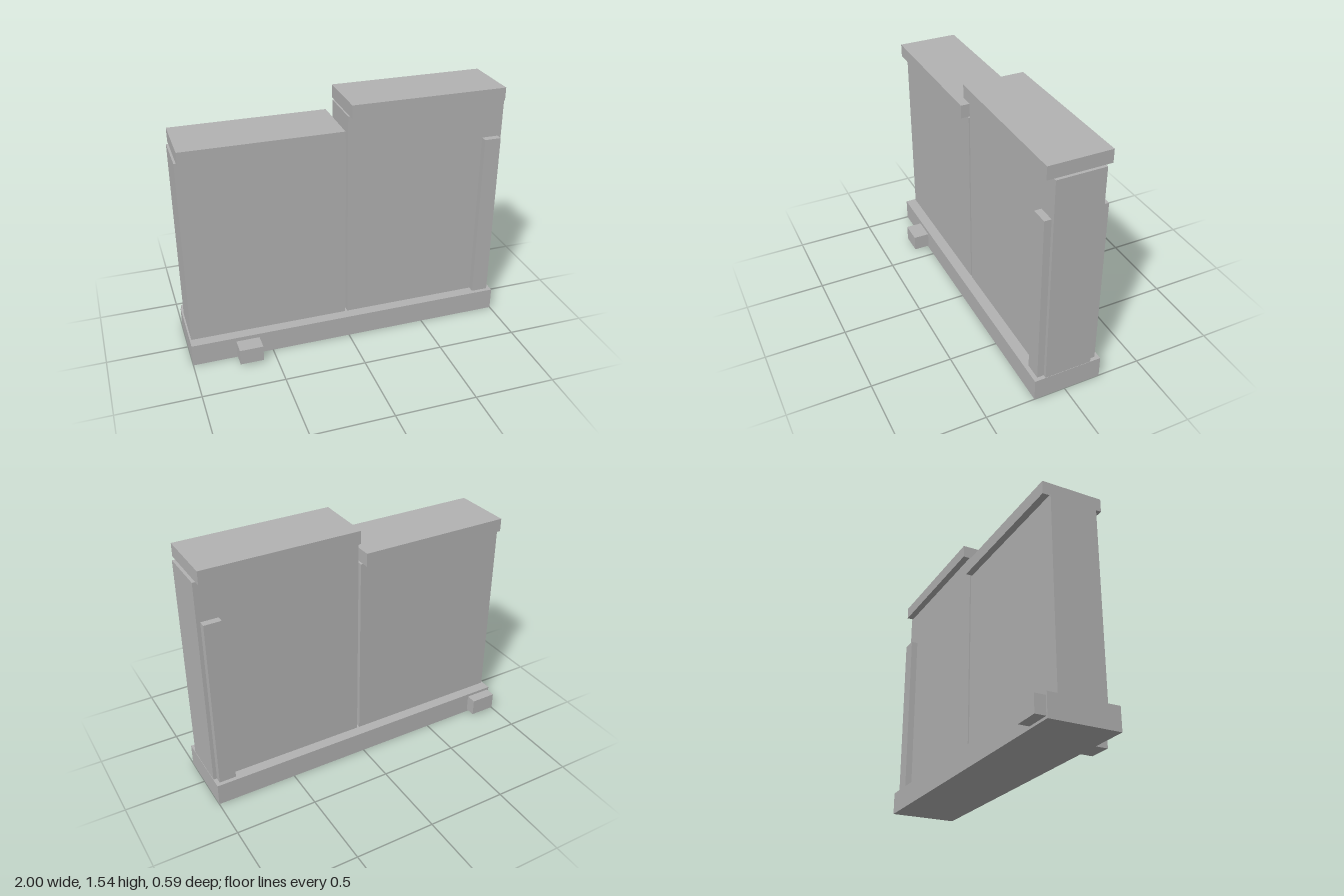
import * as THREE from 'three';

export function createModel() {
  const group = new THREE.Group();
  const stone = new THREE.MeshStandardMaterial({ color: 0xb2b2b2 });
  stone.name = 'grey stone';

  // Box given by its extents along each axis
  function box(name, [x0, x1], [y0, y1], [z0, z1]) {
    const mesh = new THREE.Mesh(new THREE.BoxGeometry(x1 - x0, y1 - y0, z1 - z0), stone);
    mesh.position.set((x0 + x1) / 2, (y0 + y1) / 2, (z0 + z1) / 2);
    mesh.name = name;
    group.add(mesh);
  }

  const wallZ = [-0.165, 0.128];
  const capZ = [-0.207, 0.17];

  // Plinth under both wall panels
  box('base', [-1, 1], [0, 0.14], [-0.232, 0.196]);

  // Stepped wall panels with a recessed joint between them
  box('lowWall', [-0.99, -0.006], [0.14, 1.31], wallZ);
  box('highWall', [0.01, 0.998], [0.14, 1.463], wallZ);
  box('wallJoint', [-0.006, 0.01], [0.14, 1.31], [-0.13, 0.09]);

  // Coping slabs
  box('lowCap', [-0.977, -0.02], [1.31, 1.392], capZ);
  box('highCap', [0.02, 0.98], [1.463, 1.543], capZ);

  // Upright strips on both faces of the high wall
  box('frontStrip', [0.872, 0.976], [0.14, 1.222], [wallZ[1], 0.17]);
  box('backStrip', [0.872, 0.976], [0.14, 1.222], [-0.207, wallZ[0]]);

  // Small blocks against the plinth
  box('frontBlock', [-0.728, -0.583], [0.015, 0.115], [0.196, 0.297]);
  box('backBlock', [-0.99, -0.828], [0.015, 0.122], [-0.297, -0.232]);

  return group;
}
